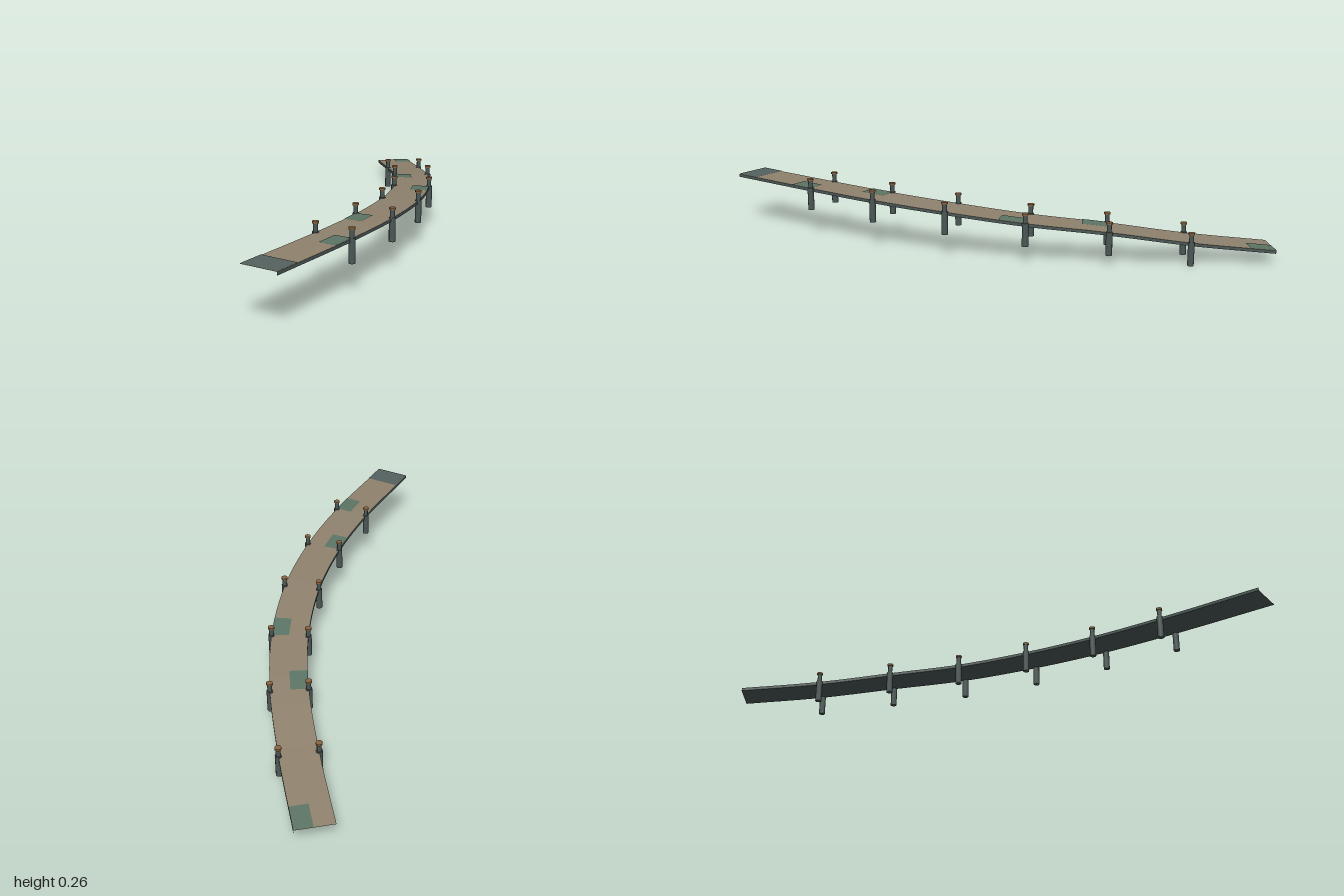
import * as THREE from 'three';

const material = (name, color, side = THREE.FrontSide) => {
  const m = new THREE.MeshStandardMaterial({ color, side });
  m.name = name;
  return m;
};

const HALF = 0.0775; // half width of the deck
const THICK = 0.013;

export function createModel() {
  const model = new THREE.Group();
  const planks = material('weathered planks', 0x8f826e);
  const iron = material('dark iron', 0x4b5856);
  const slate = material('slate plate', 0x55625f);
  const patina = material('green patina', 0x5c7565);
  const rust = material('rusty cap', 0x8a6440);

  // Centre line of the deck surface
  const path = new THREE.CatmullRomCurve3([
    [-0.98, 0.22, 0.655], [-0.547, 0.217, 0.535], [-0.237, 0.208, 0.42],
    [0.047, 0.193, 0.272], [0.305, 0.168, 0.08], [0.53, 0.141, -0.148],
    [0.738, 0.095, -0.415], [0.932, 0.057, -0.692],
  ].map((p) => new THREE.Vector3(...p)));
  path.arcLengthDivisions = 600;
  const length = path.getLength();

  // Point at distance s along the path, w across it (+ is the right edge), lifted by y
  const at = (s, w, y) => {
    const u = THREE.MathUtils.clamp(s / length, 0, 1);
    const t = path.getTangentAt(u).setY(0).normalize();
    const p = path.getPointAt(u);
    return p.set(p.x - t.z * w, p.y + y, p.z + t.x * w);
  };

  // Strip swept along the path between two (w, y) offsets
  const strip = (name, mat, s0, s1, a, b, steps) => {
    const pos = [], index = [];
    for (let i = 0; i <= steps; i++) {
      const s = s0 + ((s1 - s0) * i) / steps;
      pos.push(...at(s, ...a).toArray(), ...at(s, ...b).toArray());
      const k = i * 2;
      if (i < steps) index.push(k, k + 1, k + 2, k + 1, k + 3, k + 2);
    }
    const g = new THREE.BufferGeometry();
    g.setAttribute('position', new THREE.Float32BufferAttribute(pos, 3));
    g.setIndex(index);
    g.computeVertexNormals();
    const mesh = new THREE.Mesh(g, mat);
    mesh.name = name;
    model.add(mesh);
  };

  // Deck shell, open at both ends
  strip('deckTop', planks, 0, length, [-HALF, 0], [HALF, 0], 48);
  strip('rightFascia', iron, 0, length, [HALF, 0], [HALF, -THICK], 48);
  strip('deckUnderside', iron, 0, length, [HALF, -THICK], [-HALF, -THICK], 48);
  strip('leftFascia', iron, 0, length, [-HALF, -THICK], [-HALF, 0], 48);

  // Landing plate and patches on alternating sides
  strip('landingPlate', slate, 0, 0.115, [-HALF, 0.002], [HALF, 0.002], 4);
  const postStations = [1, 2, 3, 4, 5, 6].map((i) => 0.45 + (i - 1) * 0.326);
  const patches = [
    [postStations[0], 1], [postStations[1], -1], [postStations[3], 1],
    [postStations[4], -1], [length, 1],
  ];
  for (const [end, side] of patches) {
    const w = side > 0 ? [0.004, HALF] : [-HALF, -0.004];
    strip('deckPatch', patina, end - 0.107, end, [w[0], 0.002], [w[1], 0.002], 5);
  }

  // Posts in pairs: pile below the deck, slim bollard and cap above
  const cylinder = (name, r, y0, y1, mat, parent) => {
    const mesh = new THREE.Mesh(new THREE.CylinderGeometry(r, r, y1 - y0, 10), mat);
    mesh.position.y = (y0 + y1) / 2;
    mesh.name = name;
    parent.add(mesh);
  };
  for (const s of postStations) {
    for (const side of [-1, 1]) {
      const post = new THREE.Group();
      post.name = side > 0 ? 'rightPost' : 'leftPost';
      post.position.copy(at(s, side * HALF, 0));
      cylinder('pile', 0.0135, -0.094, 0.003, iron, post);
      cylinder('bollard', 0.0095, 0.003, 0.035, iron, post);
      cylinder('cap', 0.0135, 0.035, 0.043, rust, post);
      model.add(post);
    }
  }

  // Rest the lowest pile on the ground
  const box = new THREE.Box3().setFromObject(model, true);
  model.children.forEach((part) => { part.position.y -= box.min.y; });
  return model;
}
